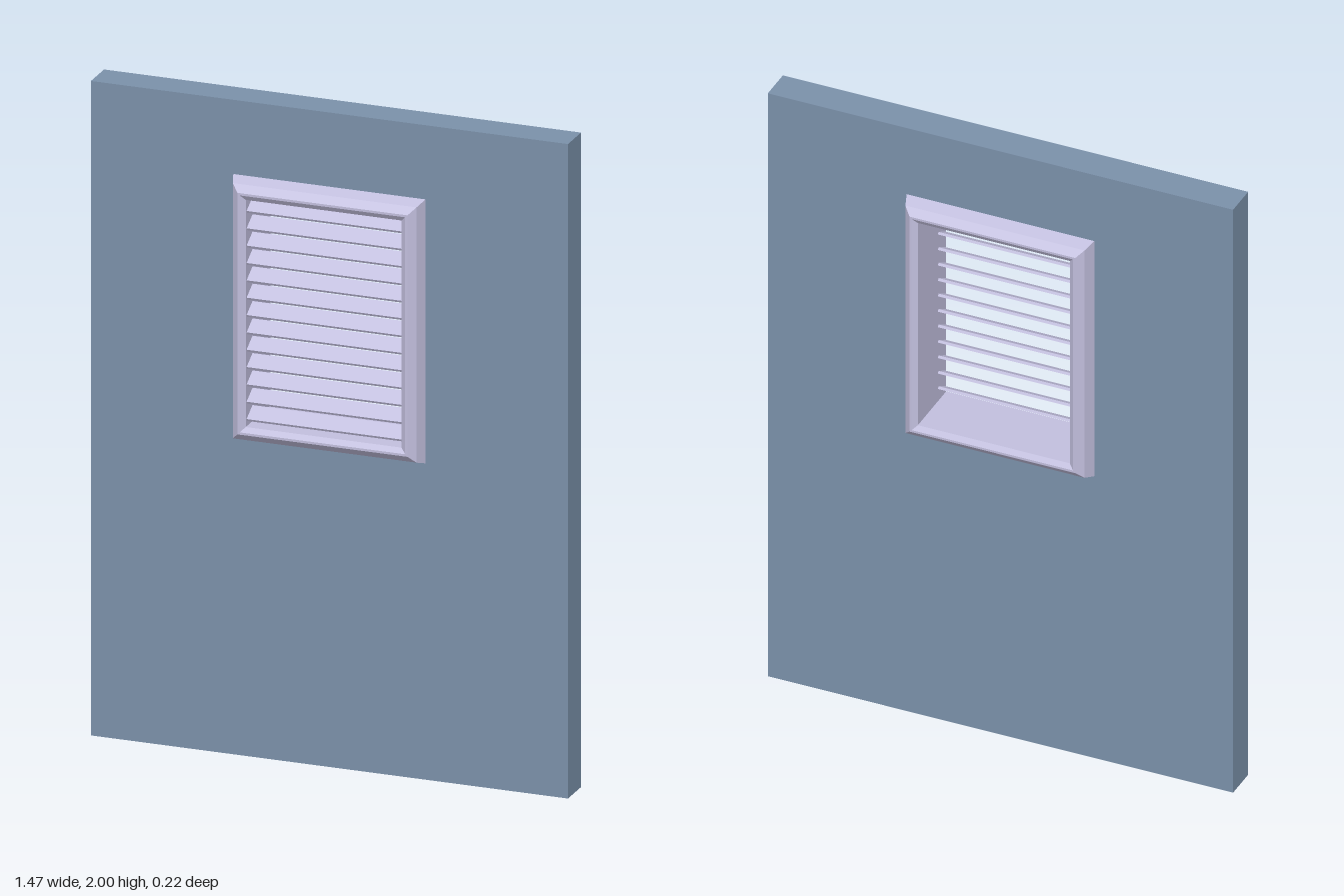
import * as THREE from 'three';

const WALL = { width: 1.47, height: 2, depth: 0.104 };
const OPENING = { halfX: 0.24, halfY: 0.347, y: 1.37 };

// Mitred rectangular ring; each profile point is [distance outside the opening, z]
function mitredRing(profile) {
  const corners = [[-1, -1], [1, -1], [1, 1], [-1, 1]];
  const at = ([sx, sy], [d, z]) => [sx * (OPENING.halfX + d), sy * (OPENING.halfY + d), z];
  const positions = [];
  corners.forEach((c, k) => {
    const next = corners[(k + 1) % 4];
    for (let i = 0; i < profile.length - 1; i++) {
      const a = at(c, profile[i]), b = at(next, profile[i]);
      const e = at(next, profile[i + 1]), f = at(c, profile[i + 1]);
      positions.push(...a, ...b, ...e, ...a, ...e, ...f);
    }
  });
  const geometry = new THREE.BufferGeometry();
  geometry.setAttribute('position', new THREE.Float32BufferAttribute(positions, 3));
  geometry.computeVertexNormals();
  return geometry;
}

function rectangle(PathType, x0, y0, x1, y1) {
  return new PathType([[x0, y0], [x1, y0], [x1, y1], [x0, y1]].map(p => new THREE.Vector2(...p)));
}

export function createModel() {
  const model = new THREE.Group();
  const wallMaterial = new THREE.MeshStandardMaterial({ color: 0x7b91aa });
  const ventMaterial = new THREE.MeshStandardMaterial({ color: 0xc2bfde });

  // Slab with a rectangular cut-out, its edge hidden under the trim
  const outline = rectangle(THREE.Shape, -WALL.width / 2, 0, WALL.width / 2, WALL.height);
  const hx = OPENING.halfX + 0.03, hy = OPENING.halfY + 0.03;
  outline.holes.push(rectangle(THREE.Path, -hx, OPENING.y - hy, hx, OPENING.y + hy));
  const slab = new THREE.ExtrudeGeometry(outline, { depth: WALL.depth, bevelEnabled: false });
  slab.translate(0, 0, -WALL.depth / 2);
  const panel = new THREE.Mesh(slab, wallMaterial);
  panel.name = 'panel';
  model.add(panel);

  const vent = new THREE.Group();
  vent.name = 'louverVent';
  vent.position.y = OPENING.y;
  model.add(vent);

  // Trim: sloped face and lip in front, straight lining, mirrored at the back
  const half = [[0.057, 0.05], [0.043, 0.09], [0.022, 0.108], [0.015, 0.108], [0, 0.098]];
  const profile = [...half, ...half.map(([d, z]) => [d, -z]).reverse()];
  const frame = new THREE.Mesh(mitredRing(profile), ventMaterial);
  frame.name = 'frame';
  vent.add(frame);

  // Slats slope down towards the front, set near the front of the opening
  const count = 13, pitch = 0.053;
  const slatGeometry = new THREE.BoxGeometry(OPENING.halfX * 2, 0.008, 0.054);
  slatGeometry.rotateX(Math.PI / 6);
  for (let i = 0; i < count; i++) {
    const slat = new THREE.Mesh(slatGeometry, ventMaterial);
    slat.name = `slat${i + 1}`;
    slat.position.set(0, (i - (count - 1) / 2) * pitch + 0.003, 0.066);
    vent.add(slat);
  }
  return model;
}
